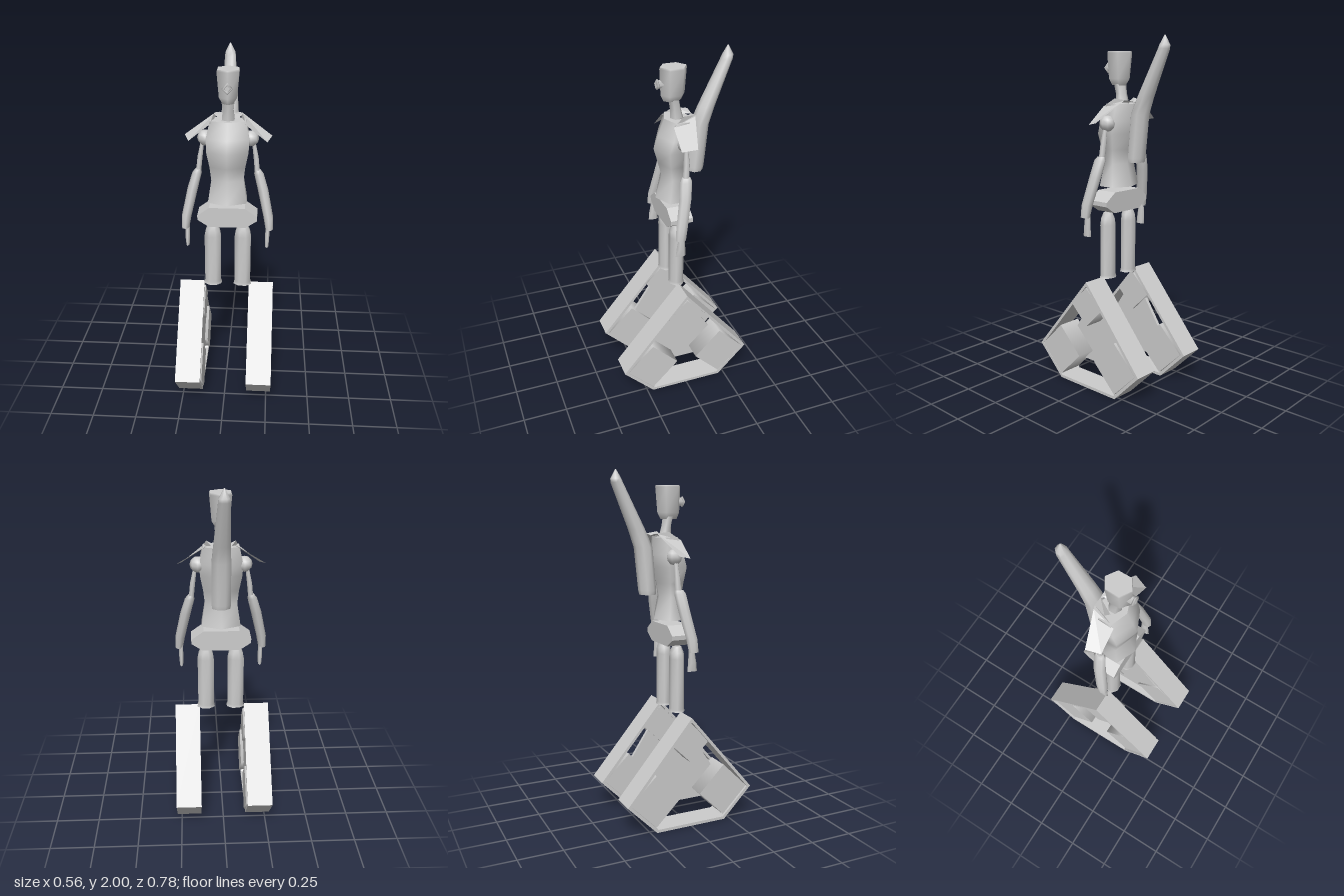
import * as THREE from 'three';

const grey = new THREE.MeshStandardMaterial({ color: 0xcccccc, side: THREE.DoubleSide });

function add(parent, name, geometry, x = 0, y = 0, z = 0) {
  const mesh = new THREE.Mesh(geometry, grey);
  mesh.name = name;
  mesh.position.set(x, y, z);
  parent.add(mesh);
  return mesh;
}

// Smooth body through horizontal rings [x, y, z, halfWidth, halfDepth], bottom to top, with flat caps.
function loft(rings, sides = 8, turn = 0) {
  const pos = [], index = [];
  const ring = ([x, y, z, rx, rz]) => {
    for (let i = 0; i < sides; i++) {
      const a = turn + (i / sides) * Math.PI * 2;
      pos.push(x + Math.sin(a) * rx, y, z + Math.cos(a) * rz);
    }
  };
  rings.forEach(ring);
  for (let j = 0; j < rings.length - 1; j++) {
    for (let i = 0; i < sides; i++) {
      const a = j * sides + i, b = j * sides + (i + 1) % sides;
      index.push(a, b, b + sides, a, b + sides, a + sides);
    }
  }
  for (const [r, top] of [[rings[0], false], [rings[rings.length - 1], true]]) {
    const start = pos.length / 3;
    ring(r);
    for (let i = 1; i < sides - 1; i++) {
      if (top) index.push(start, start + i, start + i + 1);
      else index.push(start, start + i + 1, start + i);
    }
  }
  const g = new THREE.BufferGeometry();
  g.setAttribute('position', new THREE.Float32BufferAttribute(pos, 3));
  g.setIndex(index);
  g.computeVertexNormals();
  return g;
}

// Outline in (z, y) extruded across x, centred on x = 0.
function sidePlate(points, width, hole) {
  const vec = (list) => list.map(([z, y]) => new THREE.Vector2(z, y));
  const shape = new THREE.Shape(vec(points));
  if (hole) shape.holes.push(new THREE.Path(vec(hole)));
  return new THREE.ExtrudeGeometry(shape, { depth: width, bevelEnabled: false })
    .translate(0, 0, -width / 2).rotateY(-Math.PI / 2);
}

function buildTrack(side) {
  const track = new THREE.Group();
  track.name = side > 0 ? 'leftTrack' : 'rightTrack';
  const x = side > 0 ? 0.204 : -0.208;
  add(track, 'trackBand', sidePlate(
    [[0, 0.645], [-0.39, 0.18], [-0.215, 0.003], [0.215, 0.003], [0.39, 0.18]], 0.145,
    [[0, 0.62], [-0.367, 0.182], [-0.207, 0.02], [0.207, 0.02], [0.367, 0.182]]), x);
  // Inner plate carrying the wheels
  add(track, 'trackPlate', sidePlate([[0, 0.59], [-0.31, 0.12], [0.31, 0.12]], 0.02), side * 0.155);
  // Four-sided wheels
  const wheelX = side > 0 ? 0.206 : -0.198;
  for (const [r, y, z] of [[0.115, 0.497, 0], [0.153, 0.183, 0.213], [0.153, 0.183, -0.213]]) {
    add(track, 'wheel', new THREE.CylinderGeometry(r, r, 0.142, 4).rotateZ(Math.PI / 2), wheelX, y, z);
  }
  return track;
}

function buildArm(side) {
  const arm = new THREE.Group();
  arm.name = side > 0 ? 'leftArm' : 'rightArm';
  const part = (name, rings, sides) =>
    add(arm, name, loft(rings.map(([x, ...rest]) => [side * x, ...rest]), sides), 0.004);
  add(arm, 'shoulder', new THREE.SphereGeometry(0.045, 8, 6), side * 0.128 + 0.004, 1.53, -0.035);
  part('upperArm', [[0.17, 1.3, -0.025, 0.016, 0.02], [0.158, 1.42, -0.032, 0.016, 0.018], [0.14, 1.53, -0.035, 0.01, 0.01]], 6);
  part('forearm', [
    [0.242, 1.01, 0.03, 0.022, 0.03], [0.235, 1.08, 0.022, 0.028, 0.034],
    [0.2, 1.24, -0.01, 0.03, 0.036], [0.175, 1.33, -0.022, 0.027, 0.036], [0.17, 1.35, -0.025, 0.016, 0.025]], 8);
  part('hand', [[0.23, 0.9, 0.027, 0.01, 0.03], [0.231, 0.95, 0.026, 0.014, 0.026], [0.232, 1.04, 0.02, 0.013, 0.015]], 6);
  return arm;
}

// Shoulder wing: strip from the neck over a ridge down to the outer edge.
function wing(side) {
  const rows = [ // [back, front] pairs
    [[0, 1.645, -0.12], [0.05, 1.64, -0.03]],
    [[0.055, 1.655, -0.12], [0.08, 1.665, -0.045]],
    [[0.075, 1.655, -0.112], [0.1, 1.62, 0.02]],
    [[0.245, 1.54, -0.06], [0.218, 1.525, 0.02]]];
  const pos = [];
  for (let i = 0; i < rows.length - 1; i++) {
    const [a, b] = rows[i], [c, d] = rows[i + 1];
    const corners = side > 0 ? [a, b, d, a, d, c] : [a, d, b, a, c, d];
    for (const [x, y, z] of corners) pos.push(x * side, y, z);
  }
  const g = new THREE.BufferGeometry();
  g.setAttribute('position', new THREE.Float32BufferAttribute(pos, 3));
  g.computeVertexNormals();
  return g;
}

export function createModel() {
  const model = new THREE.Group();
  model.name = 'trackedFigure';

  for (const side of [-1, 1]) {
    model.add(buildTrack(side));
    model.add(buildArm(side));
    add(model, side > 0 ? 'leftThigh' : 'rightThigh', loft([
      [0, 0.638, 0, 0.056, 0.046], [0, 0.655, 0, 0.05, 0.042], [0, 0.95, 0, 0.051, 0.042],
      [0, 0.985, 0, 0.044, 0.04], [0, 1.02, 0, 0.028, 0.026]], 8, Math.PI / 8), side * 0.088 + 0.005);
    add(model, side > 0 ? 'leftShoulderWing' : 'rightShoulderWing', wing(side), 0.005);
  }

  // Pelvis block with pointed sides
  const hip = [[-0.167, 1.095], [-0.165, 1.07], [-0.1, 1.027], [0.11, 1.027], [0.175, 1.07], [0.175, 1.095], [0.105, 1.145], [-0.1, 1.145]];
  add(model, 'pelvis', new THREE.ExtrudeGeometry(
    new THREE.Shape(hip.map(([x, y]) => new THREE.Vector2(x, y))), { depth: 0.13, bevelEnabled: false }), 0, 0, -0.068);

  add(model, 'torso', loft([
    [0, 1.17, -0.005, 0.127, 0.097], [0, 1.3, -0.007, 0.105, 0.062], [0, 1.38, -0.005, 0.115, 0.08],
    [0, 1.47, -0.005, 0.135, 0.105], [0, 1.54, -0.02, 0.138, 0.095], [0, 1.635, -0.035, 0.115, 0.072]], 6), 0.004);

  add(model, 'neck', loft([
    [0, 1.62, -0.035, 0.042, 0.04], [0, 1.69, -0.025, 0.034, 0.03], [0, 1.76, -0.012, 0.042, 0.03]], 6), 0.005);

  add(model, 'head', loft([
    [0, 1.735, -0.008, 0.034, 0.05], [0, 1.77, -0.01, 0.056, 0.068], [0, 1.91, -0.013, 0.07, 0.077], [0, 1.92, -0.013, 0.066, 0.074]], 6), 0.006);

  // Diamond-shaped eyepiece with a raised rim
  add(model, 'eyepieceRim', new THREE.TorusGeometry(0.023, 0.008, 4, 4), 0.006, 1.83, 0.077);
  add(model, 'eyepiece', new THREE.CylinderGeometry(0.024, 0.024, 0.04, 4).rotateX(Math.PI / 2), 0.006, 1.83, 0.058);

  // Long tapered pod bent back behind the torso
  add(model, 'backPod', loft([
    [0.008, 1.315, -0.14, 0.054, 0.046], [0.008, 1.34, -0.142, 0.057, 0.05], [0.008, 1.58, -0.165, 0.056, 0.052],
    [0.006, 1.68, -0.205, 0.049, 0.047], [0, 1.93, -0.32, 0.033, 0.034], [0, 1.95, -0.325, 0.03, 0.03],
    [0, 2, -0.326, 0.003, 0.003]], 8, Math.PI / 8));

  return model;
}
